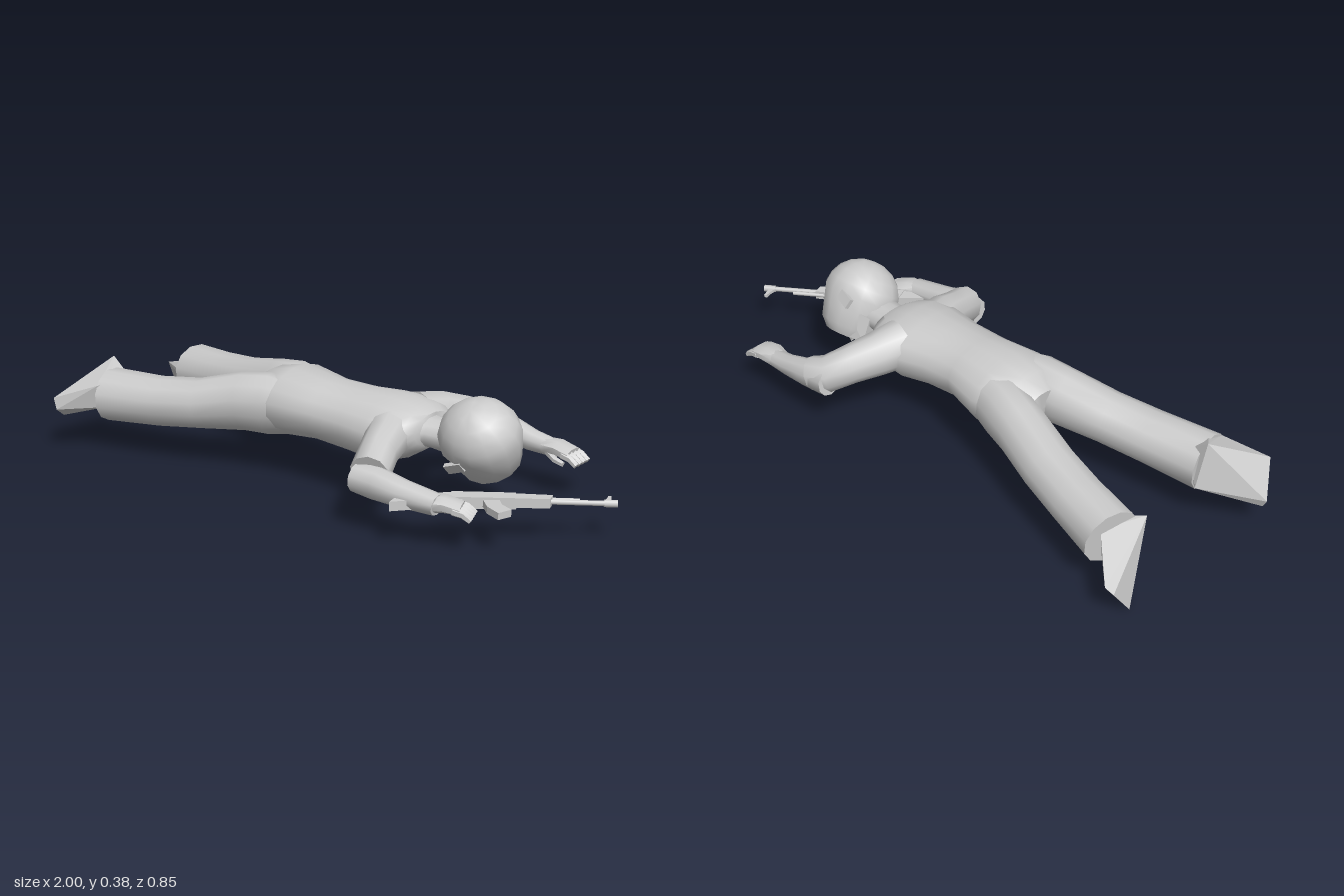
import * as THREE from 'three';
import { toCreasedNormals } from 'three/addons/utils/BufferGeometryUtils.js';
import { ConvexGeometry } from 'three/addons/geometries/ConvexGeometry.js';

const grey = new THREE.MeshStandardMaterial({ color: 0xcccccc, side: THREE.DoubleSide });
const V = (x, y, z) => new THREE.Vector3(x, y, z);

function part(parent, name, geometry) {
  const mesh = new THREE.Mesh(geometry, grey);
  mesh.name = name;
  parent.add(mesh);
  return mesh;
}

// Skin through oval rings [x, y, z, half width, half height], square to the path
function loft(rings, sides = 12) {
  const pos = [], index = [];
  const centre = rings.map(r => V(r[0], r[1], r[2]));
  const last = rings.length - 1;
  rings.forEach((r, i) => {
    const t = centre[Math.min(i + 1, last)].clone().sub(centre[Math.max(i - 1, 0)]).normalize();
    const side = V(0, 1, 0).cross(t).normalize();
    const up = t.clone().cross(side);
    for (let j = 0; j < sides; j++) {
      const a = (j + 0.5) / sides * Math.PI * 2;
      const p = centre[i].clone().addScaledVector(side, Math.cos(a) * r[3]).addScaledVector(up, Math.sin(a) * r[4]);
      pos.push(p.x, p.y, p.z);
    }
  });
  const c0 = rings.length * sides;
  for (const c of [centre[0], centre[last]]) pos.push(c.x, c.y, c.z);
  for (let j = 0; j < sides; j++) {
    const k = (j + 1) % sides, e = last * sides;
    for (let i = 0; i < last; i++) {
      const a = i * sides + j, b = i * sides + k;
      index.push(a, b, a + sides, b, b + sides, a + sides);
    }
    index.push(c0, k, j, c0 + 1, e + j, e + k);
  }
  const g = new THREE.BufferGeometry();
  g.setAttribute('position', new THREE.Float32BufferAttribute(pos, 3));
  g.setIndex(index);
  return toCreasedNormals(g, 0.95);
}

// Flat outline with thickness, centred on its own plane
function plate(points, depth) {
  const shape = new THREE.Shape(points.map(p => new THREE.Vector2(p[0], p[1])));
  return new THREE.ExtrudeGeometry(shape, { depth, bevelEnabled: false }).translate(0, 0, -depth / 2);
}

// Head in its own frame: crown towards +x, face towards -y, rolled onto one cheek
function buildHead() {
  const head = new THREE.Group();
  head.name = 'head';
  const g = new THREE.SphereGeometry(1, 14, 10);
  const p = g.attributes.position;
  for (let i = 0; i < p.count; i++) {
    let x = p.getX(i), y = p.getY(i), z = p.getZ(i);
    if (y < 0) {
      // steep sides down to a flat face that narrows at the chin
      const grow = Math.min(1 / Math.max(Math.hypot(x, z), 0.62), 1.35) * (1 + 0.35 * y);
      x *= Math.max(grow, 0.8);
      z *= Math.max(grow, 0.8) * (1 + 0.2 * Math.min(x, 0));
      y = Math.max(y * 1.3, -1);
    }
    p.setXYZ(i, x * 0.134, y * (y > 0 ? 0.122 : 0.14), z * 0.125);
  }
  part(head, 'skull', toCreasedNormals(g, 0.8));
  part(head, 'nose', new ConvexGeometry([V(0.02, -0.13, 0), V(-0.035, -0.13, 0.02), V(-0.035, -0.13, -0.02), V(-0.032, -0.158, 0)]));
  part(head, 'jaw', new ConvexGeometry([-1, 1].flatMap(s => [
    V(-0.03, -0.138, s * 0.055), V(-0.105, -0.135, s * 0.035), V(-0.115, -0.05, s * 0.06), V(-0.03, -0.04, s * 0.1)])));
  for (const s of [-1, 1]) {
    const ear = part(head, 'ear', new THREE.BoxGeometry(0.06, 0.035, 0.014));
    ear.position.set(-0.035, -0.016, s * 0.121);
    ear.rotation.set(0, s * 0.15, 0.3);
  }
  head.position.set(0.556, 0.262, 0.048);
  head.rotation.x = 0.58;
  return head;
}

// Rifle lying on its side: local x along the barrel, muzzle at the origin
function buildRifle() {
  const rifle = new THREE.Group();
  rifle.name = 'rifle';
  const tube = (name, from, to, r, y = 0) =>
    part(rifle, name, new THREE.CylinderGeometry(r, r, to - from, 8).rotateZ(Math.PI / 2).translate((from + to) / 2, y, 0));
  tube('barrel', -0.3, 0, 0.0085);
  tube('muzzle', -0.04, 0, 0.012);
  tube('gasTube', -0.3, -0.11, 0.007, 0.017);
  part(rifle, 'handguard', plate([[-0.31, -0.02], [-0.2, -0.015], [-0.19, 0.018], [-0.31, 0.024]], 0.03));
  part(rifle, 'receiver', plate([[-0.5, -0.028], [-0.3, -0.025], [-0.3, 0.022], [-0.49, 0.02]], 0.036));
  part(rifle, 'stock', plate([[-0.675, -0.075], [-0.5, -0.028], [-0.49, 0.018], [-0.64, 0.002]], 0.03));
  part(rifle, 'grip', plate([[-0.49, -0.02], [-0.455, -0.02], [-0.475, -0.085], [-0.505, -0.08]], 0.024));
  part(rifle, 'magazine', plate([[-0.4, -0.02], [-0.35, -0.02], [-0.345, -0.06], [-0.32, -0.1], [-0.36, -0.13], [-0.39, -0.08]], 0.022));
  part(rifle, 'frontSight', plate([[-0.045, 0], [-0.02, 0], [-0.012, 0.05], [-0.022, 0.05], [-0.028, 0.03]], 0.01));
  part(rifle, 'rearSight', plate([[-0.32, 0.02], [-0.28, 0.02], [-0.285, 0.034], [-0.3, 0.034]], 0.012));
  const x = V(0.846, -0.02, -0.533).normalize();
  const z = x.clone().cross(V(-0.533, 0, -0.846)).normalize();
  const y = z.clone().cross(x);
  rifle.quaternion.setFromRotationMatrix(new THREE.Matrix4().makeBasis(x, y, z));
  rifle.position.set(0.995, 0.122, -0.003);
  return rifle;
}

export function createModel() {
  const model = new THREE.Group();
  model.name = 'proneFigure';

  part(model, 'torso', loft([
    [-0.29, 0.235, -0.005, 0.08, 0.065], [-0.23, 0.24, 0, 0.145, 0.098], [-0.14, 0.245, 0.005, 0.162, 0.114],
    [0, 0.242, 0.025, 0.138, 0.098], [0.12, 0.235, 0.03, 0.142, 0.102], [0.22, 0.23, 0.03, 0.165, 0.108],
    [0.3, 0.24, 0.03, 0.175, 0.092], [0.355, 0.248, 0.03, 0.14, 0.068], [0.38, 0.25, 0.032, 0.1, 0.05]], 16));
  part(model, 'neck', loft([[0.33, 0.24, 0.03, 0.09, 0.06], [0.39, 0.24, 0.032, 0.068, 0.046], [0.5, 0.235, 0.04, 0.068, 0.056]]));
  model.add(buildHead(), buildRifle());

  // Trouser legs
  part(model, 'leftLeg', loft([
    [-0.1, 0.24, 0.075, 0.07, 0.085], [-0.2, 0.24, 0.085, 0.086, 0.102], [-0.3, 0.233, 0.094, 0.088, 0.097],
    [-0.45, 0.208, 0.13, 0.088, 0.083], [-0.6, 0.195, 0.155, 0.091, 0.083], [-0.8, 0.19, 0.175, 0.097, 0.09]]));
  part(model, 'rightLeg', loft([
    [-0.1, 0.24, -0.06, 0.07, 0.085], [-0.2, 0.238, -0.085, 0.086, 0.1], [-0.3, 0.225, -0.117, 0.086, 0.095],
    [-0.47, 0.195, -0.178, 0.09, 0.085], [-0.62, 0.178, -0.225, 0.092, 0.085], [-0.78, 0.165, -0.272, 0.097, 0.09]]));

  // Wedge feet with tilted soles: ankle corners, heel edge, toe edge
  part(model, 'leftFoot', new ConvexGeometry([
    V(-0.76, 0.25, 0.13), V(-0.76, 0.25, 0.23), V(-0.78, 0.16, 0.12), V(-0.78, 0.16, 0.23),
    V(-0.82, 0.15, 0.085), V(-0.83, 0.305, 0.12), V(-0.79, 0.24, 0.255),
    V(-1, 0.12, 0.21), V(-0.985, 0.09, 0.215), V(-0.93, 0.19, 0.32), V(-0.92, 0.15, 0.32)]));
  part(model, 'rightFoot', new ConvexGeometry([
    V(-0.76, 0.21, -0.23), V(-0.76, 0.2, -0.3), V(-0.76, 0.12, -0.24), V(-0.76, 0.11, -0.29),
    V(-0.83, 0.21, -0.17), V(-0.8, 0.1, -0.24),
    V(-0.91, 0.005, -0.34), V(-0.905, 0.11, -0.415), V(-0.88, 0.13, -0.425), V(-0.895, 0.002, -0.33)]));

  // Short sleeves, wide at the shoulder and open around the elbow
  part(model, 'leftSleeve', loft([
    [0.27, 0.245, 0.09, 0.08, 0.077], [0.295, 0.235, 0.17, 0.07, 0.07], [0.31, 0.215, 0.24, 0.062, 0.064], [0.335, 0.182, 0.325, 0.062, 0.066]], 10));
  part(model, 'rightSleeve', loft([
    [0.27, 0.25, -0.05, 0.09, 0.077], [0.3, 0.238, -0.14, 0.074, 0.072], [0.345, 0.217, -0.22, 0.064, 0.064],
    [0.385, 0.195, -0.284, 0.061, 0.061], [0.44, 0.18, -0.299, 0.052, 0.058]], 10));

  // Forearms
  part(model, 'leftForearm', loft([
    [0.295, 0.168, 0.333, 0.05, 0.048], [0.37, 0.162, 0.337, 0.05, 0.052], [0.46, 0.15, 0.34, 0.046, 0.043], [0.58, 0.139, 0.338, 0.042, 0.032]], 10));
  part(model, 'rightForearm', loft([
    [0.36, 0.185, -0.3, 0.05, 0.05], [0.47, 0.171, -0.3, 0.044, 0.046], [0.56, 0.151, -0.293, 0.037, 0.035], [0.65, 0.141, -0.286, 0.033, 0.027]], 10));

  // Hands: palm, four closed fingers and a thumb on the inner side
  const hands = [
    { name: 'leftHand', at: V(0.56, 0.14, 0.338), turn: 0.3, inner: -1 },
    { name: 'rightHand', at: V(0.62, 0.145, -0.286), turn: -0.1, inner: 1 }];
  for (const h of hands) {
    const hand = new THREE.Group();
    hand.name = h.name;
    part(hand, 'palm', loft([[-0.01, 0, 0, 0.036, 0.028], [0.04, 0.004, 0, 0.045, 0.026], [0.09, -0.006, 0, 0.044, 0.019]], 8));
    for (let i = 0; i < 4; i++) {
      const z = (i - 1.5) * 0.022;
      part(hand, 'finger', loft([[0.07, -0.005, z, 0.0125, 0.014], [0.1, -0.012, z, 0.0125, 0.013], [0.125, -0.03, z, 0.012, 0.01]], 6));
    }
    const z = h.inner * 0.04;
    part(hand, 'thumb', loft([[0.01, -0.008, z * 0.6, 0.012, 0.012], [0.05, -0.024, z, 0.011, 0.011], [0.08, -0.032, z, 0.009, 0.009]], 6));
    hand.position.copy(h.at);
    hand.rotation.y = h.turn;
    model.add(hand);
  }
  return model;
}
